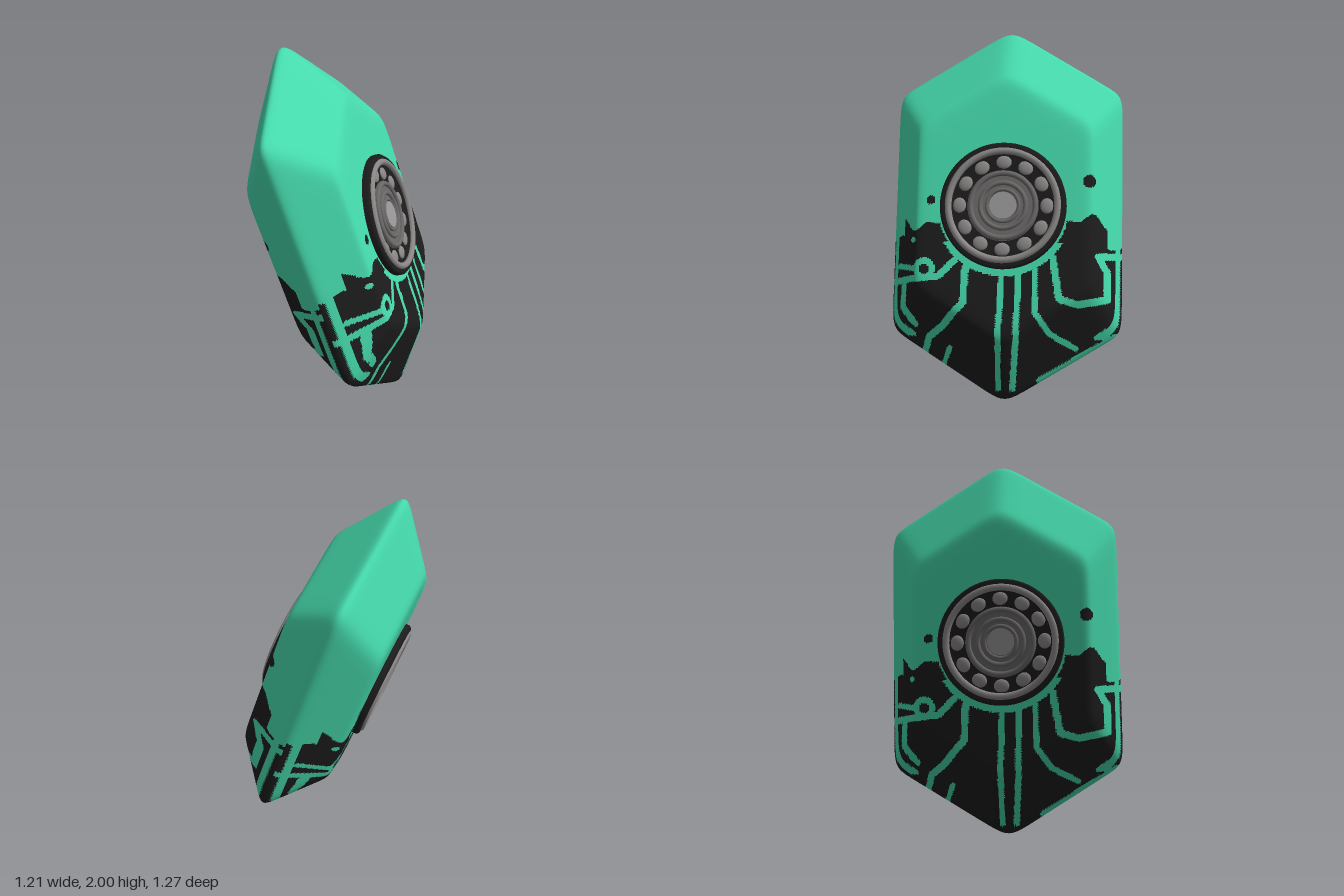
import * as THREE from 'three';

const mat = (name, color, side = THREE.FrontSide) => {
  const m = new THREE.MeshStandardMaterial({ color, side });
  m.name = name;
  return m;
};

// Crystal proportions: girdle half width and shoulder, tip, half depth, inner face width and tip
const A = 0.67, B = 0.7, H = 1.11, T = 0.272, A1 = 0.48, H1 = 0.73;
const SHARPNESS = 30;

// Facet planes, scaled so that plane . point = 1 on the facet
function facetPlanes() {
  const planes = [];
  for (const sz of [1, -1]) {
    planes.push(new THREE.Vector3(0, 0, sz / T));
    for (const sx of [1, -1]) {
      planes.push(new THREE.Vector3(sx / A, 0, sz * (1 - A1 / A) / T));
      for (const sy of [1, -1])
        planes.push(new THREE.Vector3(sx * (H - B) / (A * H), sy / H, sz * (1 - H1 / H) / T));
    }
  }
  return planes;
}

// Circuit lines on each face: [width, points...]
const circuits = [
  [0.017, [0, -0.36], [-0.03, -1.0]],
  [0.017, [0.09, -0.36], [0.08, -0.72], [0.05, -1.0]],
  [0.017, [0.18, -0.34], [0.18, -0.57], [0.26, -0.69], [0.4, -0.77]],
  [0.02, [-0.2, -0.34], [-0.21, -0.53], [-0.335, -0.66], [-0.42, -0.72], [-0.47, -0.84]],
  [0.019, [-0.26, -0.3], [-0.35, -0.39], [-0.68, -0.42]],
  [0.02, [-0.56, -0.42], [-0.57, -0.56], [-0.5, -0.65]],
  [0.016, [-0.6, -0.33], [-0.48, -0.35]],
  [0.02, [0.275, -0.28], [0.31, -0.5], [0.41, -0.53], [0.57, -0.5], [0.57, -0.35], [0.52, -0.27], [0.68, -0.25]],
  [0.018, [0.62, -0.7], [0.2, -0.95]],
  [0.015, [-0.3, -0.78], [-0.35, -0.88]],
];

function segmentDistance(x, y, [x0, y0], [x1, y1]) {
  const dx = x1 - x0, dy = y1 - y0;
  const t = THREE.MathUtils.clamp(((x - x0) * dx + (y - y0) * dy) / (dx * dx + dy * dy), 0, 1);
  return Math.hypot(x - x0 - t * dx, y - y0 - t * dy);
}

// True where the shell is dark
function isDark(x, y, z) {
  const a = z >= 0 ? x : -x;
  if (Math.hypot(a - 0.47, y - 0.14) < 0.035 || Math.hypot(a + 0.4, y - 0.03) < 0.025) return true;
  const top = -0.09 + 0.035 * Math.sin(17 * a) + 0.02 * Math.sin(41 * a) - (Math.abs(a) > 0.57 ? 0.1 : 0);
  if (y > top) return false;
  if (Math.hypot(a, y) < 0.385) return y > -0.2 && Math.hypot(a, y) > 0.36;
  if (Math.abs(Math.hypot(a + 0.43, y + 0.35) - 0.045) < 0.017) return false;
  if (Math.hypot(a + 0.5, y + 0.19) < 0.016) return false;
  // paired tracks along the girdle
  if (Math.abs(x) > 0.5 && y > -0.72 && Math.abs(Math.abs(z) - 0.055) < 0.02) return false;
  for (const [width, ...pts] of circuits)
    for (let i = 1; i < pts.length; i++)
      if (segmentDistance(a, y, pts[i - 1], pts[i]) < width) return false;
  return true;
}

// Rounded crystal shell, its faces sorted into two colours
function crystalGeometry() {
  const geo = new THREE.BoxGeometry(1.34, 2, 0.56, 110, 160, 40);
  const pos = geo.attributes.position, nor = geo.attributes.normal;
  const planes = facetPlanes(), p = new THREE.Vector3(), n = new THREE.Vector3();
  for (let i = 0; i < pos.count; i++) {
    p.fromBufferAttribute(pos, i);
    // finer rows in the decorated lower part
    const t = (p.y + 1) / 2;
    p.y = t < 0.85 ? -1.1 + t / 0.85 * 1.35 : 0.25 + (t - 0.85) / 0.15 * 0.85;
    const big = Math.max(...planes.map(q => q.dot(p)));
    p.divideScalar(big);
    let sum = 0;
    n.set(0, 0, 0);
    for (const q of planes) {
      const d = Math.max(0, q.dot(p));
      sum += d ** SHARPNESS;
      n.addScaledVector(q, d ** (SHARPNESS - 1));
    }
    p.multiplyScalar(sum ** (-1 / SHARPNESS));
    n.normalize();
    pos.setXYZ(i, p.x, p.y, p.z);
    nor.setXYZ(i, n.x, n.y, n.z);
  }
  const light = [], dark = [], idx = geo.index.array;
  for (let i = 0; i < idx.length; i += 3) {
    const tri = [idx[i], idx[i + 1], idx[i + 2]];
    const mid = get => (get(tri[0]) + get(tri[1]) + get(tri[2])) / 3;
    const painted = isDark(mid(k => pos.getX(k)), mid(k => pos.getY(k)), mid(k => pos.getZ(k)));
    (painted ? dark : light).push(...tri);
  }
  geo.setIndex(light.concat(dark));
  geo.clearGroups();
  geo.addGroup(0, light.length, 0);
  geo.addGroup(light.length, dark.length, 1);
  return geo;
}

export function createModel() {
  const green = mat('shell green', 0x45d9ab);
  const black = mat('dark casing', 0x1c1c1c);
  const steel = mat('ring grey', 0x8a8686);
  const iron = mat('hub grey', 0x6a6767);
  const pale = mat('cap grey', 0x9a9898);

  const add = (parent, name, geo, material) => {
    const m = new THREE.Mesh(geo, material);
    m.name = name;
    parent.add(m);
    return m;
  };

  const body = new THREE.Group();
  body.name = 'tiltedBody';
  add(body, 'crystalShell', crystalGeometry(), [green, black]);

  // Round emitter on the flat face, lying along local z
  function emitter(name) {
    const g = new THREE.Group();
    g.name = name;
    const rim = [[0.347, 0.2], [0.347, 0.295], [0.335, 0.31], [0.285, 0.31], [0.272, 0.28], [0.001, 0.28]]
      .map(([r, h]) => new THREE.Vector2(r, h));
    add(g, 'casing', new THREE.LatheGeometry(rim, 64).rotateX(Math.PI / 2), black);
    const disc = (n, r, z, depth, m) =>
      add(g, n, new THREE.CylinderGeometry(r, r, depth, 48).rotateX(Math.PI / 2), m).position.z = z - depth / 2;
    const ring = (n, r, tube, z, m) =>
      add(g, n, new THREE.TorusGeometry(r, tube, 10, 64), m).position.z = z;
    ring('outerRing', 0.299, 0.019, 0.307, steel);
    // ring of small studs
    for (let i = 0; i < 12; i++) {
      const a = i / 12 * Math.PI * 2;
      const stud = add(g, 'stud', new THREE.SphereGeometry(0.037, 14, 10), steel);
      stud.scale.set(1, 1.15, 0.35);
      stud.position.set(0.24 * Math.cos(a), 0.24 * Math.sin(a), 0.282);
      stud.rotation.z = a;
    }
    disc('hub', 0.195, 0.288, 0.03, iron);
    ring('hubRing', 0.178, 0.015, 0.289, iron);
    ring('middleRing', 0.125, 0.013, 0.29, iron);
    ring('innerRing', 0.088, 0.01, 0.291, iron);
    disc('centreCap', 0.074, 0.298, 0.03, pale);
    return g;
  }
  const front = emitter('frontEmitter'), back = emitter('backEmitter');
  back.rotation.y = Math.PI;
  body.add(front, back);

  // Tilt: z along the face direction, y along the long axis
  const n = new THREE.Vector3(0.72, 0.33, 0.61).normalize();
  const w = new THREE.Vector3(-0.26, 0.944, -0.203).cross(n).normalize();
  const u = new THREE.Vector3().crossVectors(n, w);
  body.quaternion.setFromRotationMatrix(new THREE.Matrix4().makeBasis(w, u, n));
  body.position.y = 1;

  const model = new THREE.Group();
  model.name = 'crystalPod';
  model.add(body);
  return model;
}
